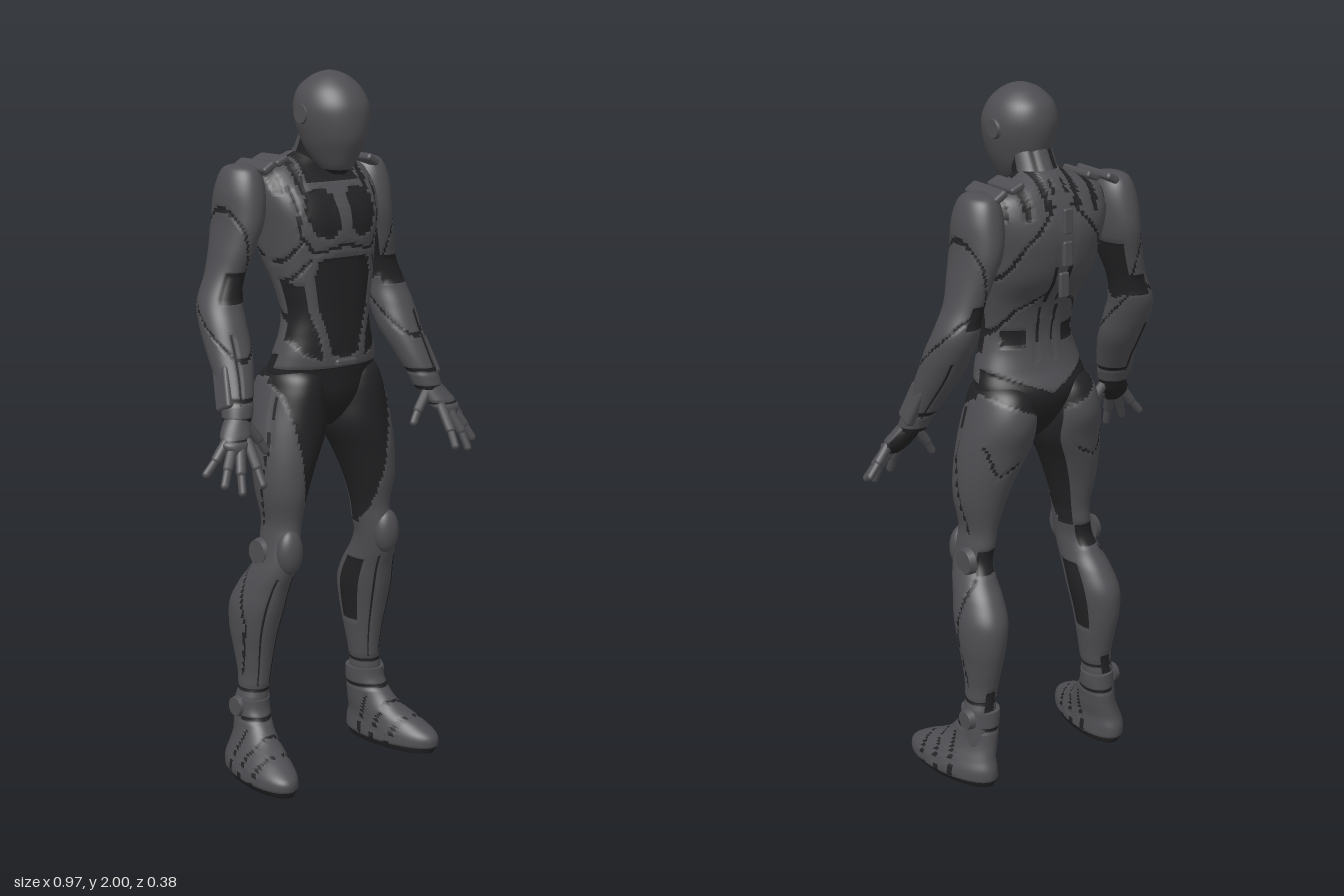
import * as THREE from 'three';
import { mergeVertices } from 'three/addons/utils/BufferGeometryUtils.js';
import { RoundedBoxGeometry } from 'three/addons/geometries/RoundedBoxGeometry.js';

const armour = new THREE.MeshStandardMaterial({ color: 0x4e4e52 });
armour.name = 'armour grey';
const suit = new THREE.MeshStandardMaterial({ color: 0x222224 });
suit.name = 'suit black';
const mats = [armour, suit];

// Catmull-Rom through rows of numbers
function rowAt(rows, t) {
  const f = t * (rows.length - 1), i = Math.min(Math.floor(f), rows.length - 2), u = f - i;
  const r = k => rows[Math.max(0, Math.min(rows.length - 1, k))];
  const [a, b, c, d] = [r(i - 1), r(i), r(i + 1), r(i + 2)];
  return b.map((_, k) => b[k] + 0.5 * u * (c[k] - a[k]
    + u * (2 * a[k] - 5 * b[k] + 4 * c[k] - d[k] + u * (3 * (b[k] - c[k]) + d[k] - a[k]))));
}

// Closed loft through rings [y, x, z, radiusX, radiusZ, squareness]; dark(x, y, z, s, c) chooses the suit colour
function loft(rings, seg, rowsN, dark, inset = 0.003) {
  const rows = rings.map(r => [...r, 2].slice(0, 6)).sort((a, b) => a[0] - b[0]);
  const pos = [], idx = [[], []];
  const point = (j, i) => {
    const [y, x, z, rx, rz, n] = rowAt(rows, Math.min(j, rowsN) / rowsN);
    const a = i / seg * Math.PI * 2, c = Math.cos(a), s = Math.sin(a);
    const e = v => Math.sign(v) * Math.abs(v) ** (2 / n);
    return [x + rx * e(c), y, z + rz * e(s), s, c];
  };
  for (let j = 0; j <= rowsN; j++) for (let i = 0; i < seg; i++) {
    const [x, y, z, s, c] = point(j, i), d = dark(x, y, z, s, c) ? inset : 0;
    pos.push(x - c * d, y, z - s * d);
  }
  for (let j = 0; j < rowsN; j++) for (let i = 0; i < seg; i++) {
    const k = (i + 1) % seg, a = j * seg + i, b = j * seg + k;
    idx[dark(...point(j + 0.5, i + 0.5)) ? 1 : 0].push(a, a + seg, b, b, a + seg, b + seg);
  }
  for (const j of [0, rowsN]) {
    const [y, x, z] = rows[j ? rows.length - 1 : 0], m = pos.length / 3;
    pos.push(x, y, z);
    const list = idx[dark(x, y, z, 0, 0) ? 1 : 0];
    for (let i = 0; i < seg; i++) {
      const a = j * seg + i, b = j * seg + (i + 1) % seg;
      list.push(m, ...(j ? [b, a] : [a, b]));
    }
  }
  const g = new THREE.BufferGeometry();
  g.setAttribute('position', new THREE.Float32BufferAttribute(pos, 3));
  g.setIndex([...idx[0], ...idx[1]]);
  g.addGroup(0, idx[0].length, 0);
  g.addGroup(idx[0].length, idx[1].length, 1);
  g.computeVertexNormals();
  return g;
}

// Copy on the other side of x = 0, with the corner order turned round
function mirrored(geo) {
  const g = (geo.index ? geo.clone() : mergeVertices(geo)).scale(-1, 1, 1), a = g.index.array;
  for (let i = 0; i < a.length; i += 3) [a[i], a[i + 1]] = [a[i + 1], a[i]];
  return g;
}

// Is (x, y) inside the polygon / within w of the polyline
function inside(p, x, y) {
  let r = false;
  p.forEach(([x1, y1], i) => {
    const [x2, y2] = p[(i + 1) % p.length];
    if ((y1 > y) !== (y2 > y) && x < (x2 - x1) * (y - y1) / (y2 - y1) + x1) r = !r;
  });
  return r;
}
function near(p, x, y, w = 0.004) {
  return p.slice(1).some(([x2, y2], i) => {
    const [x1, y1] = p[i], dx = x2 - x1, dy = y2 - y1;
    const t = Math.max(0, Math.min(1, ((x - x1) * dx + (y - y1) * dy) / (dx * dx + dy * dy)));
    return Math.hypot(x - x1 - t * dx, y - y1 - t * dy) < w;
  });
}
const between = (v, a, b) => v > a && v < b;

// Suit patterns
const chestPanel = [[.022, 1.66], [.05, 1.685], [.11, 1.675], [.125, 1.62], [.1, 1.56], [.05, 1.545], [.022, 1.57]];
const belly = [[-.01, 1.5], [.085, 1.49], [.1, 1.44], [.088, 1.36], [.06, 1.28], [.045, 1.22], [-.01, 1.215]];
const flank = [[.122, 1.42], [.17, 1.43], [.17, 1.3], [.125, 1.23], [.075, 1.21], [.082, 1.27], [.107, 1.34]];
const frontSeams = [[[.145, 1.69], [.135, 1.56], [.1, 1.51], [.0, 1.53]], [[.13, 1.54], [.17, 1.47]], [[.11, 1.49], [.16, 1.42]]];
const backSeams = [[[.02, 1.76], [.02, 1.5], [.03, 1.25]], [[.03, 1.7], [.12, 1.6], [.16, 1.5]], [[.02, 1.45], [.1, 1.4], [.15, 1.3]]];
function torsoDark(px, y, z, s) {
  const x = Math.abs(px);
  if (y > 1.67 && (between(x, .1, .122) || between(x, .16, .18))) return true;
  if (s > 0) return y < 1.19 || (y > 1.7 && x < .09) || [chestPanel, belly, flank].some(p => inside(p, x, y))
    || frontSeams.some(p => near(p, x, y));
  return y < 1.16 + .4 * x || (between(x, .06, .12) && between(y, 1.29, 1.34)) || (y > 1.69 && between(x, .04, .06))
    || backSeams.some(p => near(p, x, y));
}
function legDark(x, y, z, s, c) {
  if (y > .7) {
    if (s > 0 ? x < .12 + (y - .72) * .16 : y > 1.08 + .45 * x || c < -.65) return true;
    return near([[.02, 1.15], [.03, .98], [-.01, .75]], z, y) || (s < 0 && near([[.1, .97], [.17, .93], [.2, 1.02]], x, y, .003));
  }
  return (s < -.3 && Math.abs(c) < .6 && between(y, .63, .7)) || (c < -.88 && between(y, .38, .58))
    || (s > 0 && between(y, .27, .6) && Math.abs(Math.abs(c) - .45) < .045)
    || (c > .5 && near([[-.06, .62], [-.03, .45], [-.06, .3]], z, y)) || between(y, .245, .258)
    || (s < -.5 && between(y, .2, .29) && Math.abs(c) < .35);
}
function armDark(x, y, z, s, c) {
  return (s > .35 && between(y, 1.38, 1.46) && Math.abs(c) < .7) || (c < -.5 && between(y, 1.4, 1.56))
    || between(y - .12 * c, 1.505, 1.517) || between(y + .1 * s, 1.325, 1.337)
    || (s < -.5 && c < .3 && between(y, 1.4, 1.46)) || (between(y, 1.12, 1.3) && Math.abs(c - .35) < .06)
    || between(y, 1.125, 1.135) || y < 1.085;
}
function footDark(x, y, z, s) {
  return y < .018 || (s > .1 && near([[.1, .1], [.07, .02]], z, y, .005)) || near([[-.02, .14], [-.05, .02]], z, y, .005)
    || near([[.04, .13], [.01, .02]], z, y) || between(y, .165, .175);
}

export function createModel() {
  const root = new THREE.Group();
  const add = (name, geo, mat = mats) => {
    const m = new THREE.Mesh(geo, mat);
    m.name = name;
    root.add(m);
  };
  const pair = (name, geo, mat) => {
    add('left ' + name, geo, mat);
    add('right ' + name, mirrored(geo), mat);
  };

  // Head, neck and torso
  add('head', loft([
    [1.72, 0, .065, .018, .02], [1.74, 0, .054, .042, .052], [1.78, 0, .042, .066, .086], [1.82, 0, .04, .083, .105],
    [1.87, 0, .035, .096, .115], [1.91, 0, .031, .097, .114], [1.95, 0, .026, .083, .096],
    [1.98, 0, .026, .055, .062], [1.995, 0, .026, .026, .03], [2, 0, .026, .003, .003]], 48, 48,
    (x, y, z, s) => s > -.6 && y > 1.72 && y < 1.732));
  add('neck', loft([
    [1.68, 0, -.065, .09, .085], [1.74, 0, -.055, .074, .075], [1.78, 0, -.035, .064, .065], [1.84, 0, -.01, .06, .055]], 48, 30,
    (x, y, z, s, c) => s > -.1 || between(Math.abs(c), .35, .6) || between(y, 1.755, 1.765)));
  add('torso', loft([
    [1.01, 0, -.01, .025, .04], [1.04, 0, -.01, .06, .07], [1.1, 0, -.015, .14, .102], [1.16, 0, -.018, .175, .112],
    [1.22, 0, -.002, .163, .1, 2.2], [1.28, 0, .006, .145, .093, 2.2], [1.34, 0, .006, .136, .093, 2.3],
    [1.42, 0, -.006, .15, .105, 2.4], [1.5, 0, -.032, .165, .132, 2.5], [1.58, 0, -.042, .176, .144, 2.6],
    [1.64, 0, -.052, .187, .136, 2.7], [1.69, 0, -.062, .19, .112, 2.7], [1.73, 0, -.067, .17, .088, 2.5],
    [1.765, 0, -.06, .09, .068], [1.78, 0, -.055, .06, .055]], 112, 150, torsoDark));

  // Limbs
  pair('leg', loft([
    [1.2, .1, -.015, .04, .05], [1.17, .1, -.018, .075, .098], [1.13, .105, -.022, .087, .118], [1.07, .111, -.022, .098, .123],
    [1, .12, -.01, .104, .113], [.92, .143, 0, .088, .101], [.84, .158, .008, .07, .087], [.76, .162, .01, .05, .07],
    [.71, .168, .012, .048, .07], [.66, .177, .015, .049, .07], [.61, .186, -.004, .056, .078], [.56, .193, -.032, .064, .088],
    [.5, .2, -.055, .069, .095], [.43, .204, -.065, .063, .084], [.36, .204, -.066, .053, .068], [.28, .206, -.063, .044, .052],
    [.2, .216, -.066, .045, .05], [.12, .222, -.068, .044, .05]], 68, 140, legDark));
  const feet = loft([
    [0, .243, .02, .064, .16], [.02, .245, .02, .074, .168], [.05, .245, .018, .072, .166], [.08, .24, 0, .064, .137],
    [.115, .23, -.033, .055, .097], [.15, .224, -.052, .05, .075], [.19, .22, -.064, .05, .06], [.225, .219, -.066, .05, .056]],
    56, 48, footDark);
  pair('boot', feet.applyMatrix4(new THREE.Matrix4().makeShear(0, 0, 0, 0, .12, 0)));
  pair('arm', loft([
    [1.75, .218, -.09, .015, .02], [1.735, .22, -.09, .045, .06], [1.68, .223, -.09, .062, .084], [1.6, .23, -.092, .06, .094],
    [1.52, .25, -.092, .056, .08], [1.45, .272, -.095, .053, .066], [1.38, .295, -.09, .061, .068], [1.32, .304, -.065, .064, .07],
    [1.25, .309, -.03, .063, .065], [1.18, .322, .01, .053, .055], [1.12, .337, .04, .046, .046], [1.075, .348, .056, .042, .04]],
    56, 100, armDark));

  // Hands
  pair('palm', loft([
    [1.1, .345, .054, .03, .03], [1.06, .363, .07, .044, .034], [1.025, .38, .09, .046, .034], [1, .385, .103, .026, .022]],
    32, 20, (x, y, z, s) => s < -.4 || between(y, 1.03, 1.037)));
  const fingers = {
    'index finger': [[.352, 1.025, .108], [.352, .965, .147], [.35, .92, .172]],
    'middle finger': [[.378, 1.015, .11], [.4, .955, .14], [.41, .905, .16]],
    'ring finger': [[.396, 1.02, .1], [.428, .967, .12], [.45, .925, .135]],
    'little finger': [[.404, 1.035, .085], [.44, .987, .085], [.472, .95, .082]],
    thumb: [[.335, 1.075, .068], [.292, 1.02, .075], [.27, .985, .08]],
  };
  for (const [name, pts] of Object.entries(fingers)) {
    const p = pts.map(q => new THREE.Vector3(...q));
    for (const k of [0, 1]) {
      const d = p[k + 1].clone().sub(p[k]), r = .0145 - .003 * k;
      const g = new THREE.CapsuleGeometry(r, d.length(), 4, 10);
      g.applyQuaternion(new THREE.Quaternion().setFromUnitVectors(new THREE.Vector3(0, 1, 0), d.clone().normalize()));
      const mid = p[k].clone().lerp(p[k + 1], .5);
      pair(name + (k ? ' tip' : ' base'), g.translate(mid.x, mid.y, mid.z), armour);
    }
  }

  // Hard plates and joint discs
  const disc = (x, y, z, r, h) => new THREE.CylinderGeometry(r * .85, r, h, 24).rotateZ(-Math.PI / 2).translate(x, y, z);
  pair('ear disc', disc(.094, 1.885, .02, .03, .012), armour);
  pair('knee disc', disc(.222, .665, -.015, .042, .02), armour);
  pair('ankle disc', disc(.262, .2, -.072, .032, .02), armour);
  pair('knee pad', new THREE.SphereGeometry(1, 24, 16).scale(.04, .065, .032).translate(.178, .675, .068), armour);
  pair('shoulder plate', new RoundedBoxGeometry(.045, .022, .15, 2, .009).rotateZ(-.55).translate(.185, 1.742, -.075), armour);
  pair('collar plate', new RoundedBoxGeometry(.045, .02, .12, 2, .008).rotateZ(-.4).translate(.125, 1.755, -.08), armour);
  pair('wrist guard', new RoundedBoxGeometry(.03, .12, .06, 2, .01).rotateX(-.4).rotateZ(.2).translate(.365, 1.16, .02), armour);
  add('belt buckle', new RoundedBoxGeometry(.075, .022, .02, 2, .008).translate(0, 1.2, .096), armour);
  for (let i = 0; i < 3; i++)
    add('spine plate', new RoundedBoxGeometry(.03, .07, .014, 2, .005).translate(0, 1.66 - i * .09, [-.188, -.188, -.172][i]), armour);
  return root;
}
